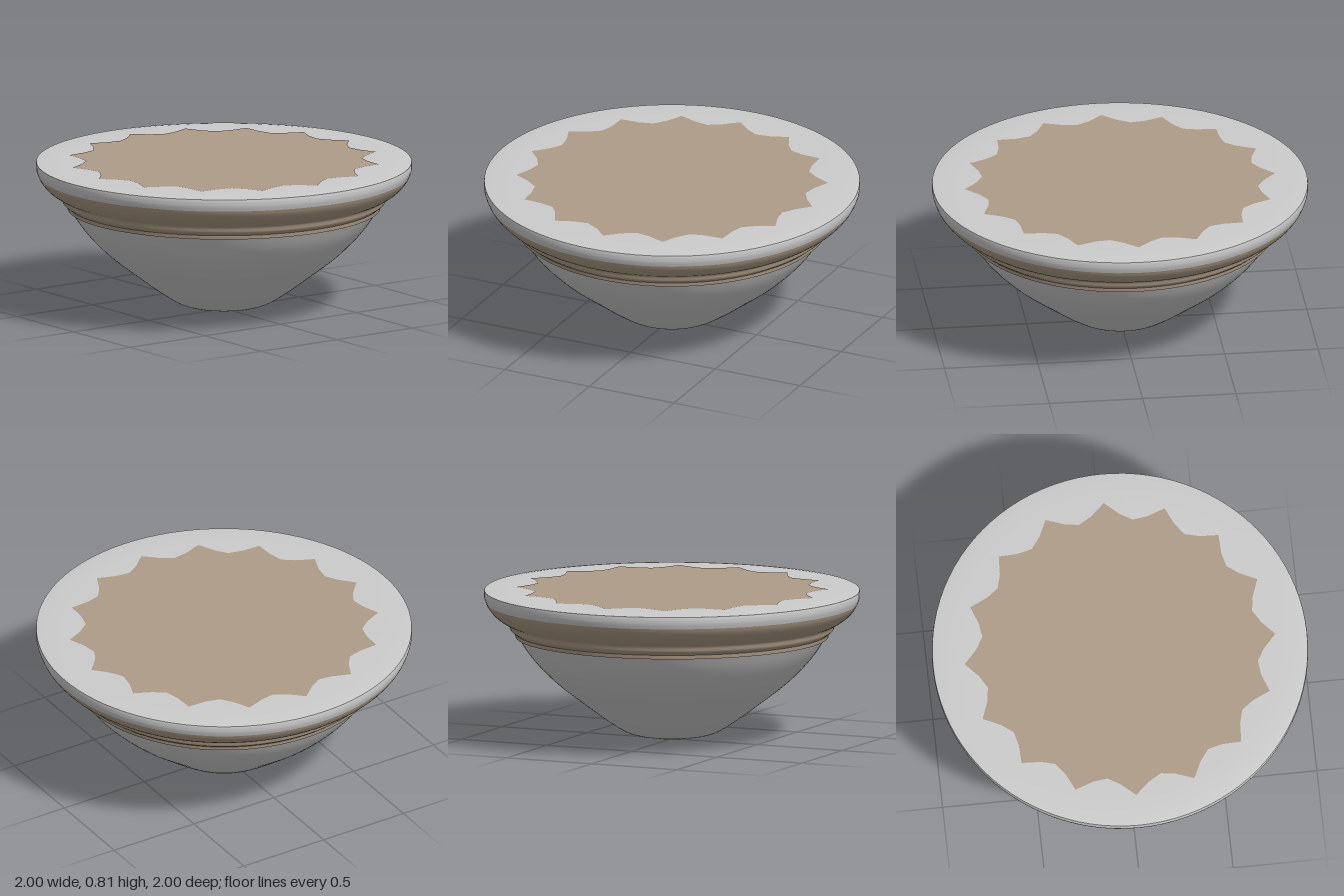
import * as THREE from 'three';
import { toCreasedNormals } from 'three/addons/utils/BufferGeometryUtils.js';

const GREY = 0xcccccc;
const BRONZE = 0xae9c87;

const points = (list) => list.map(([x, y]) => new THREE.Vector2(x, y));
const smooth = (list, n) => new THREE.SplineCurve(points(list)).getPoints(n);

function addMesh(group, name, geometry, color) {
  const material = new THREE.MeshStandardMaterial({ color, side: THREE.DoubleSide });
  const mesh = new THREE.Mesh(geometry, material);
  mesh.name = name;
  group.add(mesh);
}

// Turned part; profiles run from the bottom upwards
const turned = (profile) => toCreasedNormals(new THREE.LatheGeometry(profile, 96), 0.6);

// Sixteen-pointed star with slightly hollow flanks
function starShape() {
  const radii = [0.83, 0.765, 0.735, 0.765];
  const outline = [];
  for (let i = 0; i < 64; i++) {
    const a = (i / 64) * Math.PI * 2;
    const r = radii[i % 4];
    outline.push(new THREE.Vector2(Math.cos(a) * r, Math.sin(a) * r));
  }
  return new THREE.Shape(outline);
}

export function createModel() {
  const group = new THREE.Group();
  group.name = 'ceilingLight';

  // Bowl-shaped glass shade
  addMesh(group, 'glassShade', turned(smooth([
    [0, 0.02], [0.15, 0.022], [0.24, 0.04], [0.34, 0.1], [0.47, 0.195],
    [0.6, 0.295], [0.7, 0.39], [0.77, 0.475], [0.82, 0.555],
  ], 40)), GREY);

  // Small button under the shade
  addMesh(group, 'finial', turned(points([
    [0, 0], [0.05, 0], [0.06, 0.006], [0.065, 0.022],
  ])), GREY);

  // Stepped metal trim: lower bead, then the flaring cove
  addMesh(group, 'trimRing', turned([
    ...points([[0.805, 0.55], [0.832, 0.55], [0.836, 0.572]]),
    ...smooth([[0.845, 0.58], [0.86, 0.593], [0.866, 0.615]], 6),
    ...smooth([[0.872, 0.624], [0.91, 0.644], [0.95, 0.675], [0.978, 0.71], [0.99, 0.735]], 14),
  ]), BRONZE);

  // Pale rim band closing over the top
  addMesh(group, 'rimAndTop', turned([
    ...smooth([[0.99, 0.735], [0.998, 0.76], [1, 0.782], [0.998, 0.8]], 8),
    ...points([[0.96, 0.804], [0.85, 0.806], [0, 0.806]]),
  ]), GREY);

  // Star-edged mounting plate on the top
  const star = new THREE.ShapeGeometry(starShape());
  star.rotateX(-Math.PI / 2);
  star.translate(0, 0.809, 0);
  addMesh(group, 'mountingPlate', star, BRONZE);

  return group;
}
